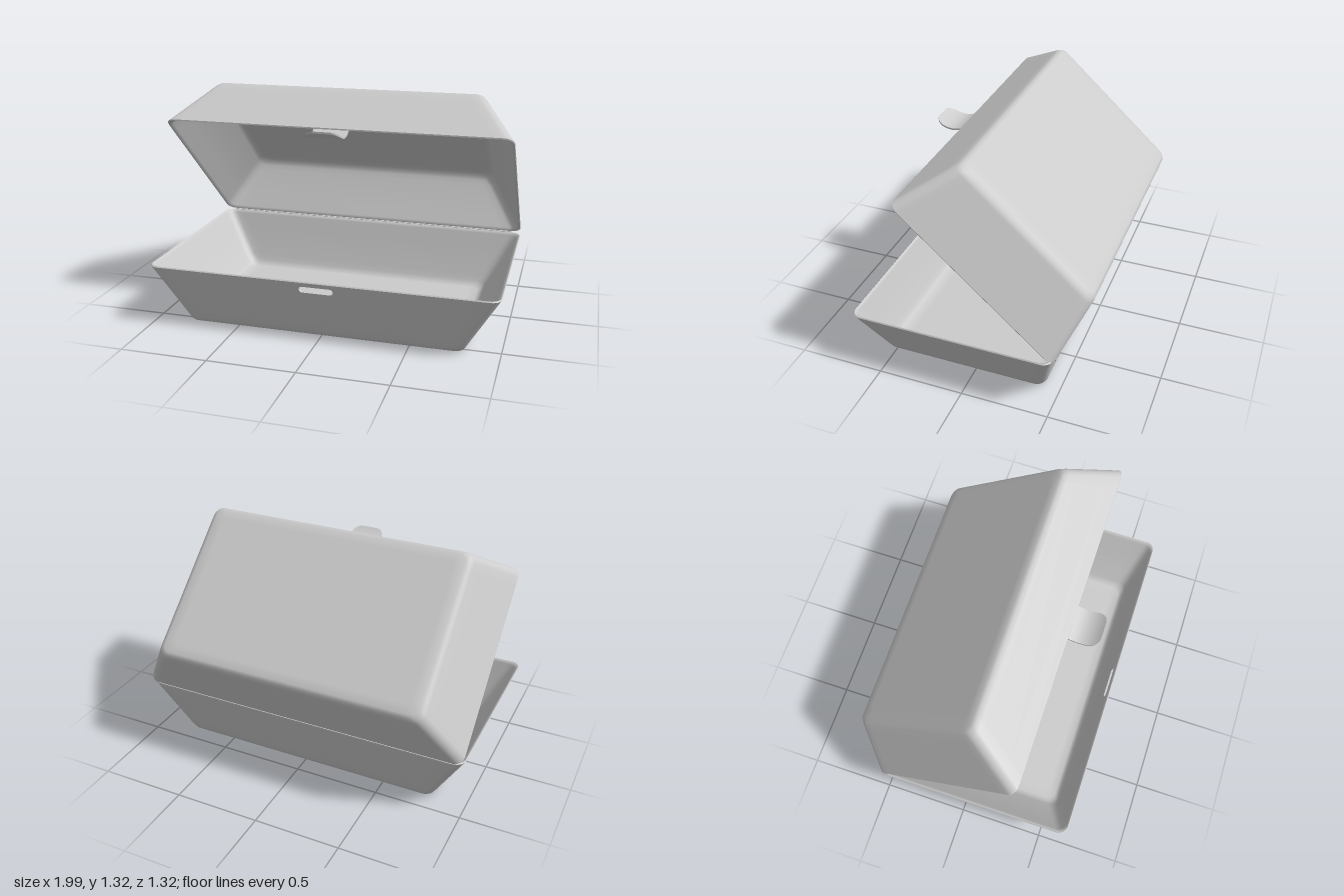
import * as THREE from 'three';
import { toCreasedNormals } from 'three/addons/utils/BufferGeometryUtils.js';

const material = new THREE.MeshStandardMaterial({ color: 0xcccccc, side: THREE.DoubleSide });

const H = 0.36, WALL = 0.013;              // tray height, wall thickness
const SLOT = { x: 0.13, y0: 0.265, y1: 0.342 };  // wall panel that holds the latch slot

// half width and half depth of the sloping outer wall at height y
const halfW = y => 0.815 + 0.185 * (y - 0.035) / (H - 0.035);
const halfD = y => 0.492 + 0.093 * (y - 0.035) / (H - 0.035);

// rounded rectangle loop, with two extra points in the front side for the slot panel
const STEPS = 6, SUPPORT = 0.05;
const FRONT = STEPS + 2;                   // index of the last point before the slot panel
function ring({ w, d, r, y }) {
  const pts = [];
  [[1, 1], [-1, 1], [-1, -1], [1, -1]].forEach(([sx, sz], c) => {
    const arc = [];
    for (let i = 0; i <= STEPS; i++) {
      const a = (c + i / STEPS) * Math.PI / 2;
      arc.push([sx * (w - r) + r * Math.cos(a), y, sz * (d - r) + r * Math.sin(a)]);
    }
    // support points keep the shading of the flat walls even
    const before = arc[0].slice(), after = arc[STEPS].slice();
    const s = w > 0 ? SUPPORT : 0;
    if (c % 2 === 0) { before[2] -= sz * s; after[0] -= sx * s; }
    else { before[0] -= sx * s; after[2] -= sz * s; }
    pts.push(before, ...arc, after);
    if (c === 0) {
      const x = w > 0 ? SLOT.x : 0;
      pts.push([x, y, d], [-x, y, d]);
    }
  });
  return pts;
}

// thin-walled tray: one skin running from the inner floor, over the rim, to the underside
function shellGeometry(withSlot) {
  const wallAt = y => ({ w: halfW(y), d: halfD(y), r: 0.055, y });
  const outer = [
    wallAt(H - 0.006), wallAt(SLOT.y1), wallAt(SLOT.y0), wallAt(0.08), wallAt(0.035),
    { w: 0.8, d: 0.48, r: 0.055, y: 0.01 },
    { w: 0.775, d: 0.46, r: 0.05, y: 0 },
    { w: 0.72, d: 0.41, r: 0.04, y: 0 },
    { w: 0, d: 0, r: 0, y: 0 },
  ];
  const inner = outer.map((p, i) => ({
    w: Math.max(0, p.w - WALL), d: Math.max(0, p.d - WALL), r: p.r,
    y: i < 4 ? p.y : p.y + WALL,
  }));
  const rim = { ...wallAt(H), w: halfW(H) - WALL / 2, d: halfD(H) - WALL / 2 };
  const profile = [...inner.reverse(), rim, ...outer];
  const rings = profile.map(ring);
  const n = rings[0].length, out = [];
  const tri = (a, b, c) => {
    const same = (p, q) => Math.hypot(p[0] - q[0], p[1] - q[1], p[2] - q[2]) < 1e-6;
    if (!same(a, b) && !same(b, c) && !same(c, a)) out.push(...a, ...b, ...c);
  };
  for (let i = 0; i < rings.length - 1; i++) {
    const ys = [profile[i].y, profile[i + 1].y];
    const slotBand = ys.includes(SLOT.y0) && ys.includes(SLOT.y1);
    for (let k = 0; k < n; k++) {
      if (withSlot && slotBand && k === FRONT + 1) continue;
      const j = (k + 1) % n;
      tri(rings[i][k], rings[i][j], rings[i + 1][j]);
      tri(rings[i][k], rings[i + 1][j], rings[i + 1][k]);
    }
  }
  const geo = new THREE.BufferGeometry();
  geo.setAttribute('position', new THREE.Float32BufferAttribute(out, 3));
  return toCreasedNormals(geo, 0.8);
}

// wall panel with a rounded slot, sheared to follow the slope of the front wall
function slotPanelGeometry() {
  const { x, y0, y1 } = SLOT;
  const shape = new THREE.Shape([[-x, y0], [x, y0], [x, y1], [-x, y1]].map(p => new THREE.Vector2(...p)));
  const hole = new THREE.Path();
  const r = 0.019, yc = 0.31, hx = 0.097 - r;
  hole.absarc(hx, yc, r, -Math.PI / 2, Math.PI / 2, false);
  hole.absarc(-hx, yc, r, Math.PI / 2, Math.PI * 1.5, false);
  hole.closePath();
  shape.holes.push(hole);
  const geo = new THREE.ExtrudeGeometry(shape, { depth: WALL, bevelEnabled: false, curveSegments: 8 });
  const p = geo.attributes.position;
  for (let i = 0; i < p.count; i++) p.setZ(i, p.getZ(i) - WALL + halfD(p.getY(i)));
  geo.computeVertexNormals();
  return toCreasedNormals(geo, 0.6);
}

// curved latch tongue with a rounded tip
function tabGeometry() {
  const geo = new THREE.BoxGeometry(2, 0.01, 1, 10, 1, 18);
  const p = geo.attributes.position;
  for (let i = 0; i < p.count; i++) {
    const t = Math.sin((p.getZ(i) + 0.5) * Math.PI / 2);
    const z = 0.335 + 0.18 * t;
    const over = Math.max(0, z - 0.46);
    const w = 0.045 + Math.sqrt(Math.max(0, 0.055 ** 2 - over ** 2));
    p.setXYZ(i, p.getX(i) * w, p.getY(i) + 1.117 + 3.7 * (z - 0.41) ** 2, z);
  }
  return toCreasedNormals(geo, 0.8);
}

export function createModel() {
  const model = new THREE.Group();
  model.name = 'hingedFoodBox';
  const add = (parent, name, geo) => {
    const mesh = new THREE.Mesh(geo, material);
    mesh.name = name;
    parent.add(mesh);
    return mesh;
  };

  // lower tray with latch slot
  const tray = new THREE.Group();
  tray.name = 'tray';
  tray.position.z = 0.075;
  add(tray, 'trayShell', shellGeometry(true));
  add(tray, 'latchSlotPanel', slotPanelGeometry());
  model.add(tray);

  // lid: the same shell turned over and swung open about the back rim
  const lid = new THREE.Group();
  lid.name = 'lid';
  lid.position.set(0, H, -0.518);
  lid.rotation.x = -0.736;
  const lidShell = add(lid, 'lidShell', shellGeometry(false));
  lidShell.rotation.x = Math.PI;
  lidShell.scale.y = 0.955;
  lidShell.position.set(0, H * 0.955, halfD(H));
  model.add(lid);

  // fold joining the two rims
  const hinge = add(model, 'hinge', new THREE.BoxGeometry(1.88, 0.008, 0.016));
  hinge.position.set(0, H - 0.002, -0.513);

  add(model, 'latchTab', tabGeometry());
  return model;
}
